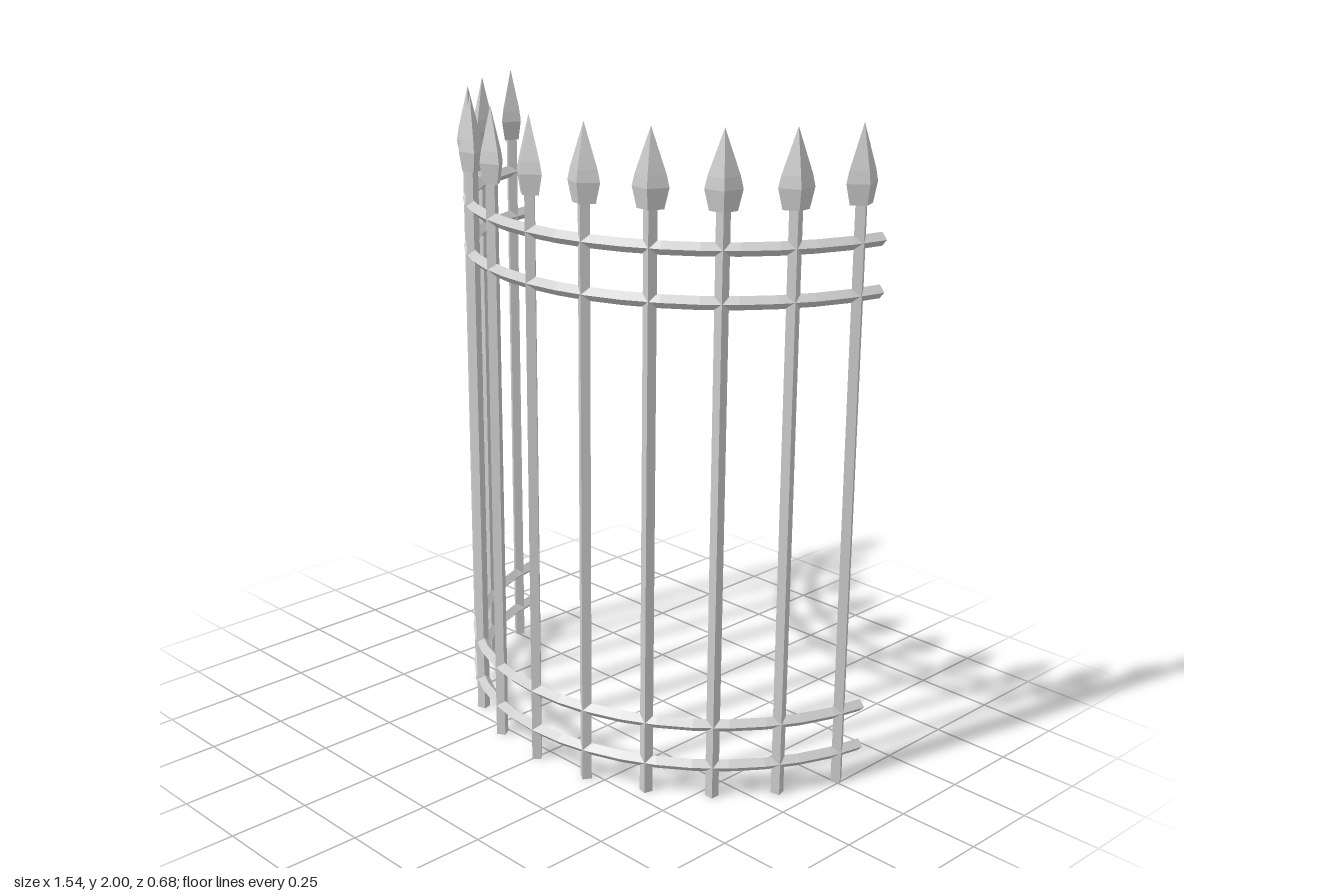
import * as THREE from 'three';

const R = 0.76;               // radius of the fence arc
const CENTRE_Z = -0.457;      // arc centre
const STEP = THREE.MathUtils.degToRad(15);
const END = THREE.MathUtils.degToRad(81);
const BAR = 0.02;             // half diagonal of posts and rails

export function createModel() {
  const fence = new THREE.Group();
  fence.name = 'curvedFence';
  const iron = new THREE.MeshStandardMaterial({ color: 0xcccccc, flatShading: true });

  const add = (parent, name, geometry) => {
    const mesh = new THREE.Mesh(geometry, iron);
    mesh.name = name;
    parent.add(mesh);
    return mesh;
  };

  // Four-sided post and spearhead, shared by every picket
  const postGeometry = new THREE.CylinderGeometry(BAR, BAR, 1.79, 4).translate(0, 0.895, 0);
  const spearProfile = [[0, 1.775], [0.039, 1.775], [0.053, 1.835], [0.045, 1.87], [0, 2]]
    .map(([x, y]) => new THREE.Vector2(x, y));
  const spearGeometry = new THREE.LatheGeometry(spearProfile, 4).scale(1, 1, 0.7);

  // Eleven pickets spread along the arc
  for (let i = -5; i <= 5; i++) {
    const a = i * STEP;
    const picket = new THREE.Group();
    picket.name = 'picket';
    picket.position.set(R * Math.sin(a), 0, CENTRE_Z + R * Math.cos(a));
    picket.rotation.y = a;
    add(picket, 'post', postGeometry);
    add(picket, 'spearhead', spearGeometry);
    fence.add(picket);
  }

  // Diamond-section rails swept round the arc, closed at both ends
  const diamond = [[0, -1], [1, 0], [0, 1], [-1, 0], [0, -1]]
    .map(([x, y]) => new THREE.Vector2(R + x * BAR, y * BAR));
  const railGeometry = new THREE.LatheGeometry(diamond, 20, -END, 2 * END);
  const capGeometry = new THREE.CircleGeometry(BAR, 4);

  for (const y of [0.1, 0.233, 1.519, 1.669]) {
    const rail = new THREE.Group();
    rail.name = 'rail';
    rail.position.set(0, y, CENTRE_Z);
    add(rail, 'railBar', railGeometry);
    for (const side of [-1, 1]) {
      const cap = add(rail, 'railEnd', capGeometry);
      cap.position.set(side * R * Math.sin(END), 0, R * Math.cos(END));
      cap.rotation.y = side * (END + Math.PI / 2);
    }
    fence.add(rail);
  }

  return fence;
}
